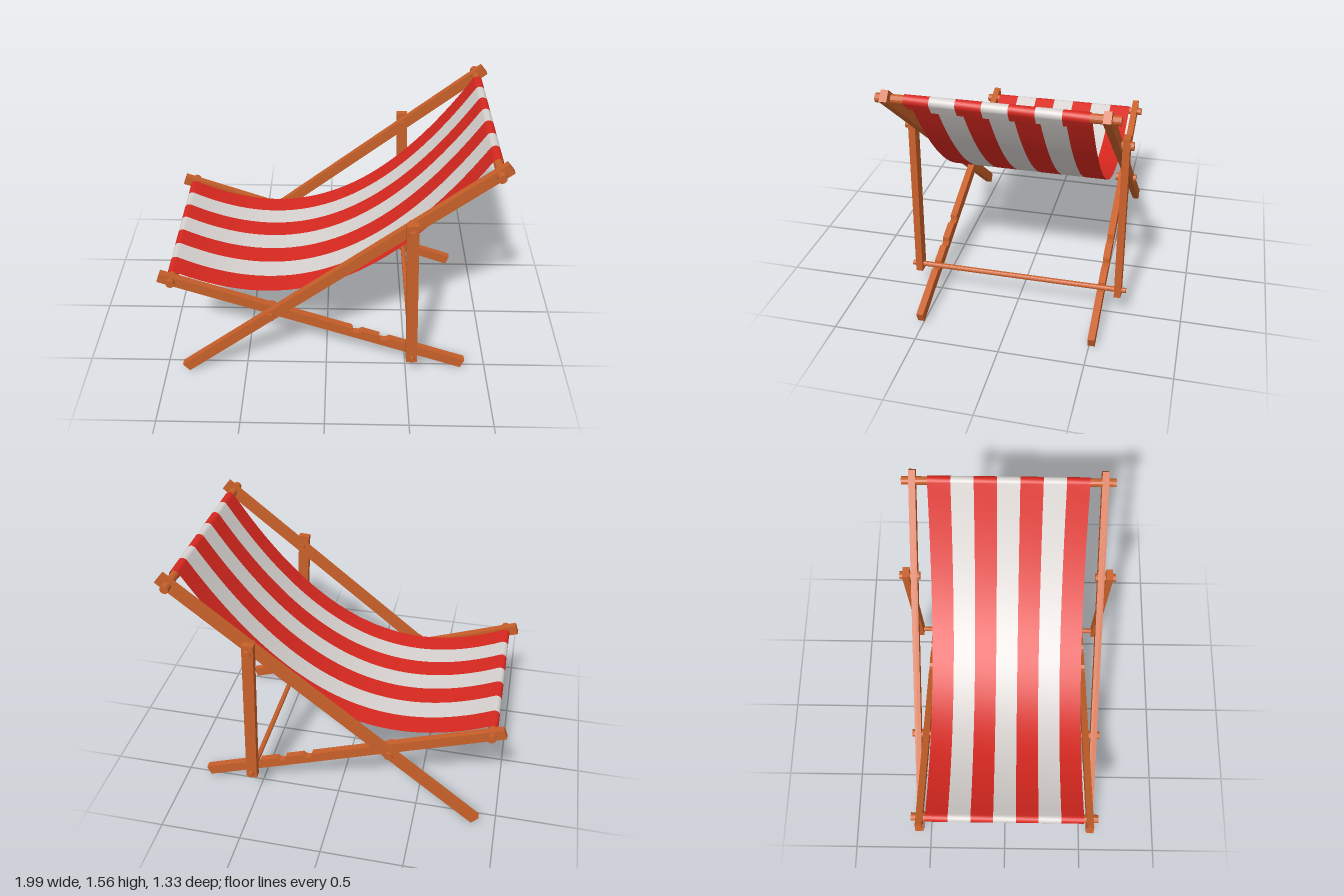
import * as THREE from 'three';

const wood = new THREE.MeshStandardMaterial({ color: 0xc8602a, flatShading: true });
const red = new THREE.MeshStandardMaterial({ color: 0xd8281f, side: THREE.DoubleSide });
const white = new THREE.MeshStandardMaterial({ color: 0xd8d3d0, side: THREE.DoubleSide });

const FRONT_BAR = [-0.915, 0.69];
const TOP_BAR = [0.92, 1.5];
const SAG = [0.1, 0.22];

// Flat timber running from a to b in the xy plane, with optional notches along its upper edge
function beam(name, a, b, width, z, notches = []) {
  const length = Math.hypot(b[0] - a[0], b[1] - a[1]);
  const h = width / 2, thick = 0.041;
  const shape = new THREE.Shape();
  shape.moveTo(0, h);
  for (const s of notches) {
    shape.lineTo(s - 0.033, h);
    shape.lineTo(s - 0.02, h - 0.028);
    shape.lineTo(s + 0.016, h - 0.02);
    shape.lineTo(s + 0.03, h);
  }
  shape.lineTo(length, h);
  shape.lineTo(length, -h);
  shape.lineTo(0, -h);
  shape.closePath();
  const geometry = new THREE.ExtrudeGeometry(shape, { depth: thick, bevelEnabled: false });
  geometry.translate(0, 0, -thick / 2);
  const mesh = new THREE.Mesh(geometry, wood);
  mesh.name = name;
  mesh.position.set(a[0], a[1], z);
  mesh.rotation.z = Math.atan2(b[1] - a[1], b[0] - a[0]);
  return mesh;
}

// Round rod along z
function rod(name, [x, y], radius, z0, z1) {
  const geometry = new THREE.CylinderGeometry(radius, radius, Math.abs(z1 - z0), 14);
  geometry.rotateX(Math.PI / 2);
  const mesh = new THREE.Mesh(geometry, wood);
  mesh.name = name;
  mesh.position.set(x, y, (z0 + z1) / 2);
  return mesh;
}

// Side profile of the cloth: hem, wrap over front bar, sag, wrap over top bar, hem
function clothProfile() {
  const r = 0.03, hem = 0.055, steps = 10;
  const points = [];
  const wrap = ([x, y], from, to) => {
    for (let i = 0; i <= steps; i++) {
      const t = from + (to - from) * i / steps;
      points.push(new THREE.Vector2(x + r * Math.cos(t), y + r * Math.sin(t)));
    }
  };
  const down = Math.atan2(SAG[1] - FRONT_BAR[1], SAG[0] - FRONT_BAR[0]);
  const up = Math.atan2(TOP_BAR[1] - SAG[1], TOP_BAR[0] - SAG[0]);

  wrap(FRONT_BAR, down + Math.PI * 1.5, down + Math.PI / 2);
  const first = points[0];
  points.unshift(new THREE.Vector2(first.x + hem * Math.cos(down), first.y + hem * Math.sin(down)));

  const start = points.pop();
  const end = new THREE.Vector2(
    TOP_BAR[0] + r * Math.cos(up + Math.PI / 2), TOP_BAR[1] + r * Math.sin(up + Math.PI / 2));
  const curve = new THREE.QuadraticBezierCurve(start, new THREE.Vector2(...SAG), end);
  points.push(...curve.getPoints(40));

  points.pop();
  wrap(TOP_BAR, up + Math.PI / 2, up - Math.PI / 2);
  const last = points[points.length - 1];
  points.push(new THREE.Vector2(last.x - hem * Math.cos(up), last.y - hem * Math.sin(up)));
  return points;
}

// One lengthwise stripe; the outer corners of the hems are cut back
function stripe(profile, z0, z1, halfWidth, material) {
  const positions = [], index = [];
  const n = profile.length;
  profile.forEach((p, i) => {
    const inner = i === 0 ? profile[1] : i === n - 1 ? profile[n - 2] : null;
    for (const z of [z0, z1]) {
      const cut = inner && Math.abs(z) > halfWidth - 0.001;
      const q = cut ? p.clone().lerp(inner, 0.35) : p;
      positions.push(q.x, q.y, cut ? z * 0.96 : z);
    }
    if (i < n - 1) {
      const k = i * 2;
      index.push(k, k + 1, k + 2, k + 1, k + 3, k + 2);
    }
  });
  const geometry = new THREE.BufferGeometry();
  geometry.setAttribute('position', new THREE.Float32BufferAttribute(positions, 3));
  geometry.setIndex(index);
  geometry.computeVertexNormals();
  const mesh = new THREE.Mesh(geometry, material);
  mesh.name = material === red ? 'redStripe' : 'whiteStripe';
  return mesh;
}

export function createModel() {
  const model = new THREE.Group();
  model.name = 'deckChair';

  // Mirrored side frames
  for (const [side, s] of [['left', 1], ['right', -1]]) {
    const frame = new THREE.Group();
    frame.name = side + 'SideFrame';
    frame.add(
      beam('backRail', [-0.877, 0.026], [0.972, 1.537], 0.065, s * 0.569),
      beam('seatRail', [-0.989, 0.715], [0.856, 0.041], 0.065, s * 0.515, [1.244, 1.425, 1.605]),
      beam('propStrut', [0.475, 1.19], [0.526, 0.157], 0.068, s * 0.618),
      rod('pivotBolt', [-0.33, 0.475], 0.025, s * 0.475, s * 0.608),
      rod('strutBolt', [0.48, 1.138], 0.025, s * 0.535, s * 0.66)
    );
    model.add(frame);
  }

  // Cross bars
  model.add(
    rod('frontBar', FRONT_BAR, 0.025, -0.565, 0.565),
    rod('topBar', TOP_BAR, 0.025, -0.633, 0.633),
    rod('notchBar', [0.525, 0.193], 0.016, -0.665, 0.665)
  );

  // Striped cloth
  const cloth = new THREE.Group();
  cloth.name = 'cloth';
  const profile = clothProfile();
  const half = 0.479, count = 7, w = 2 * half / count;
  for (let i = 0; i < count; i++) {
    cloth.add(stripe(profile, -half + i * w, -half + (i + 1) * w, half, i % 2 ? white : red));
  }
  model.add(cloth);
  return model;
}
